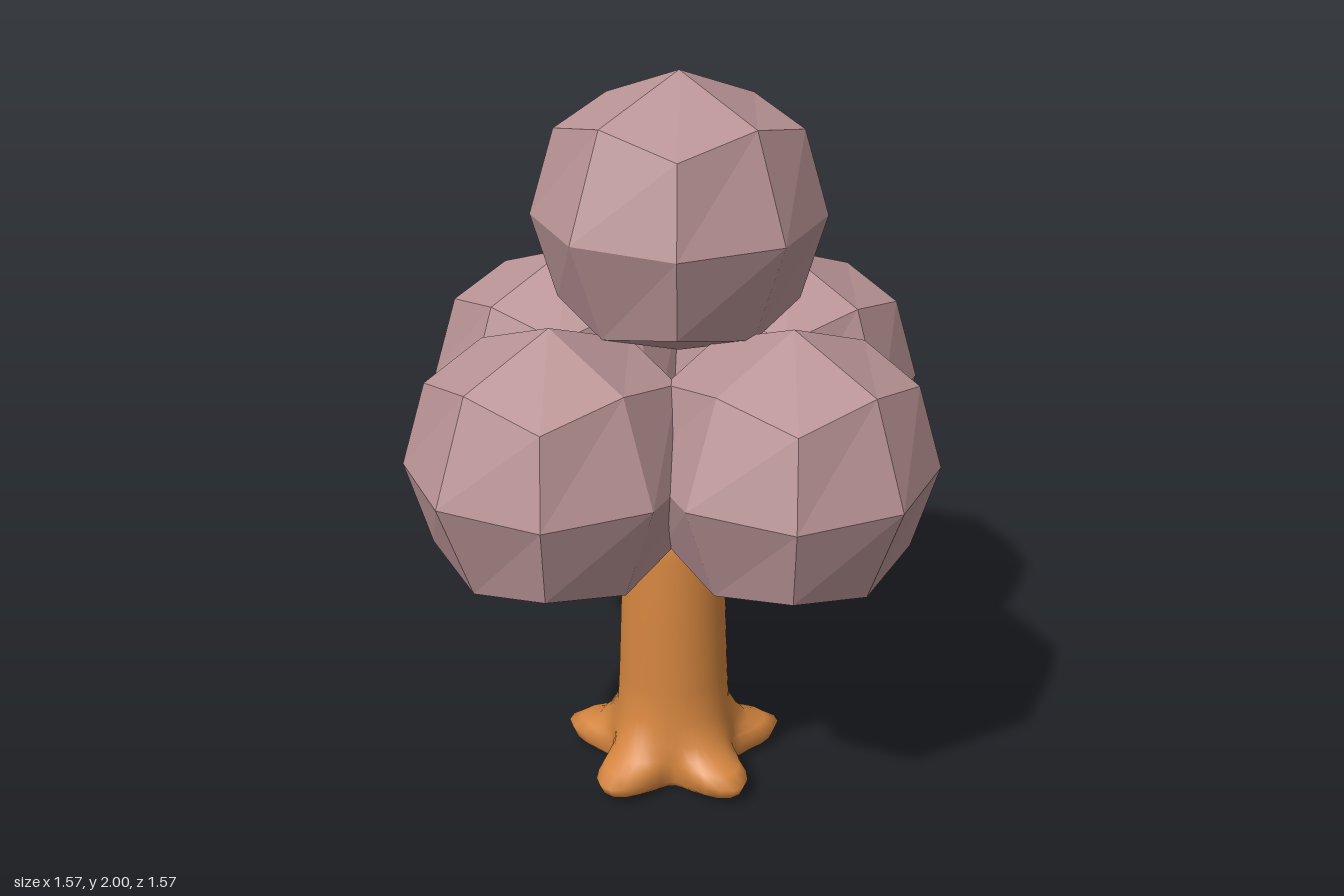
import * as THREE from 'three';
import { mergeVertices } from 'three/addons/utils/BufferGeometryUtils.js';

const leafMat = new THREE.MeshStandardMaterial({ color: 0xba9496, flatShading: true });
leafMat.name = 'dusty pink foliage';
const barkMat = new THREE.MeshStandardMaterial({ color: 0xd4853f });
barkMat.name = 'orange bark';

// Faceted ball: a 2x2x2 cube whose face centres, edge middles and corners are pushed onto a round shape
function foliageGeometry() {
  const geo = new THREE.BoxGeometry(2, 2, 2, 2, 2, 2);
  const reach = [0, 0.366, 0.266, 0.22]; // by number of non-zero coordinates
  const pos = geo.attributes.position;
  for (let i = 0; i < pos.count; i++) {
    const p = [pos.getX(i), pos.getY(i), pos.getZ(i)].map(Math.round);
    const s = reach[p.filter((c) => c !== 0).length];
    pos.setXYZ(i, p[0] * s, p[1] * s, p[2] * s);
  }
  geo.computeVertexNormals();
  return geo;
}

// Trunk: stacked rings, the lowest ones swelling into five roots
function trunkGeometry() {
  // height, radius, root swell
  const rings = [
    [0, 0, 0], [0, 0.1, 0.03], [0.005, 0.165, 0.085], [0.025, 0.175, 0.125], [0.06, 0.178, 0.14],
    [0.085, 0.178, 0.1], [0.1, 0.178, 0.045], [0.14, 0.175, 0.015], [0.2, 0.158, 0], [0.3, 0.153, 0],
    [0.5, 0.146, 0], [0.7, 0.138, 0], [0.78, 0.128, 0], [0.84, 0.1, 0], [0.86, 0, 0],
  ];
  const segments = 60;
  let geo = new THREE.LatheGeometry(rings.map(([y, r]) => new THREE.Vector2(r, y)), segments);
  const pos = geo.attributes.position;
  const firstRoot = THREE.MathUtils.degToRad(135);
  for (let i = 0; i < pos.count; i++) {
    const [y, r, swell] = rings[i % rings.length];
    const a = (Math.floor(i / rings.length) % segments) / segments * Math.PI * 2;
    const lobe = (1 + Math.cos(5 * (a - firstRoot))) / 2;
    const radius = r + swell * lobe;
    pos.setXYZ(i, Math.sin(a) * radius, y, Math.cos(a) * radius);
  }
  geo.deleteAttribute('normal');
  geo.deleteAttribute('uv');
  geo = mergeVertices(geo);
  geo.computeVertexNormals();
  return geo;
}

export function createModel() {
  const tree = new THREE.Group();
  tree.name = 'tree';

  const trunk = new THREE.Mesh(trunkGeometry(), barkMat);
  trunk.name = 'trunk';
  tree.add(trunk);

  // Four balls around the trunk and one on top
  const ball = foliageGeometry();
  const places = {
    leftFoliage: [0.42, 1.07, 0],
    rightFoliage: [-0.42, 1.07, 0],
    frontFoliage: [0, 1.07, 0.42],
    backFoliage: [0, 1.07, -0.42],
    topFoliage: [0, 1.634, 0.02],
  };
  for (const [name, place] of Object.entries(places)) {
    const mesh = new THREE.Mesh(ball, leafMat);
    mesh.name = name;
    mesh.position.set(...place);
    tree.add(mesh);
  }
  return tree;
}
